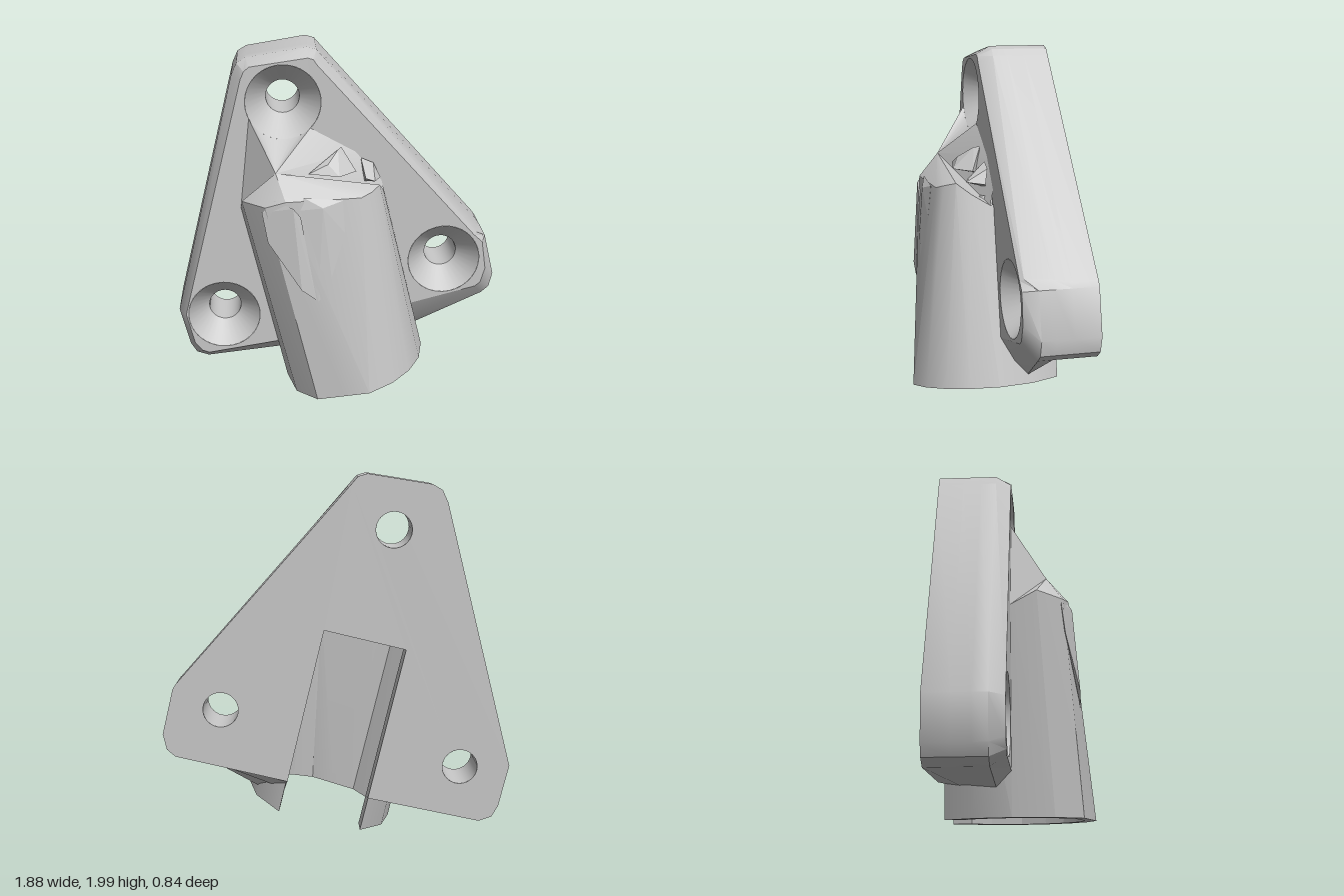
import * as THREE from 'three';
import { toCreasedNormals } from 'three/addons/utils/BufferGeometryUtils.js';
import { ConvexGeometry } from 'three/addons/geometries/ConvexGeometry.js';

const TILT = Math.atan2(0.235, 0.972);
const FRONT = -0.02, BACK = -0.42, SINK = 0.21;

// Socket-aligned coordinates (across, along, depth) to model space
function local(u, v, z = 0) {
  const c = Math.cos(TILT), s = Math.sin(TILT);
  return [0.095 + u * c - v * s, 0.105 + u * s + v * c, z];
}

// Triangles from a list of points, keeping hard edges sharp
function surface(points, index, crease = 0.45) {
  const g = new THREE.BufferGeometry();
  g.setAttribute('position', new THREE.Float32BufferAttribute(points.flat(), 3));
  g.setIndex(index);
  return toCreasedNormals(g, crease);
}

// Skin between closed cross-sections with equal point counts
function loft(rings, crease) {
  const n = rings[0].length, index = [];
  for (let r = 0; r < rings.length - 1; r++) {
    for (let i = 0; i < n; i++) {
      const a = r * n + i, b = r * n + (i + 1) % n;
      index.push(a, b, b + n, a, b + n, a + n);
    }
  }
  return surface(rings.flat(), index, crease);
}

// Closed fan around one centre point
function fan(centre, loop, crease) {
  const index = loop.flatMap((_, i) => [0, i + 1, (i + 1) % loop.length + 1]);
  return surface([centre, ...loop], index, crease);
}

export function createModel() {
  const group = new THREE.Group();
  const grey = new THREE.MeshStandardMaterial({ color: 0xc8c8c8, side: THREE.DoubleSide });
  grey.name = 'lightGrey';
  const add = (name, geometry) => {
    const m = new THREE.Mesh(geometry, grey);
    m.name = name;
    group.add(m);
    return m;
  };

  // Plate outlines, from the right foot round over the top to the left foot
  const outer = [[0.875, 0.485], [0.92, 0.525], [0.94, 0.61], [0.88, 0.86], [0.86, 0.89],
    [-0.08, 1.95], [-0.11, 1.985], [-0.16, 2], [-0.5, 1.945], [-0.55, 1.915], [-0.58, 1.85],
    [-0.94, 0.43], [-0.885, 0.2], [-0.85, 0.14], [-0.78, 0.115]];
  const inner = [[0.82, 0.565], [0.85, 0.59], [0.875, 0.68], [0.85, 0.85], [0.8, 0.895],
    [-0.11, 1.915], [-0.13, 1.945], [-0.16, 1.955], [-0.48, 1.91], [-0.51, 1.885], [-0.53, 1.84],
    [-0.895, 0.43], [-0.85, 0.24], [-0.81, 0.19], [-0.77, 0.175]];
  const ring = (side, z, half, vRight, vLeft, vTop) => [
    local(half, vRight, z), ...side.map(([x, y]) => [x, y, z]),
    local(-half, vLeft, z), local(-half, vTop, z), local(half, vTop, z)];
  const rings = [
    ring(outer, BACK, 0.225, 0.19, 0.2, 1.05),
    ring(outer, -0.28, 0.225, 0.1, 0.17, 1.05),
    ring(outer, -0.18, 0.33, 0.04, 0.16, 1.065),
    ring(outer, -0.1, 0.385, 0.13, 0.155, 1.08),
    ring(inner, FRONT, 0.385, 0.27, 0.235, 1.08)];
  // The long right bevel runs out towards the right foot
  rings[3][5] = [0.815, 0.905, -0.04];
  rings[2][5] = [0.835, 0.9, -0.18];
  add('plateSides', loft(rings, 0.5));

  // Plate faces, pierced by three countersunk screw holes
  const holes = [[-0.3, 1.71], [0.625, 0.745], [-0.67, 0.425]];
  const face = (points, radius, z) => {
    const shape = new THREE.Shape(points.map(p => new THREE.Vector2(p[0], p[1])));
    for (const [x, y] of holes) {
      shape.holes.push(new THREE.Path().absarc(x, y, radius, 0, Math.PI * 2, true));
    }
    return new THREE.ShapeGeometry(shape, 32).translate(0, 0, z);
  };
  add('plateFront', face(rings[4], SINK, FRONT));
  const back = face(rings[0], 0.095, BACK);
  const order = back.index.array;
  for (let i = 0; i < order.length; i += 3) [order[i], order[i + 1]] = [order[i + 1], order[i]];
  back.computeVertexNormals();
  add('plateBack', back);

  const bore = [[SINK, FRONT], [0.095, -0.16], [0.095, BACK]].map(p => new THREE.Vector2(...p));
  for (const [x, y] of holes) {
    const g = new THREE.LatheGeometry(bore, 32).rotateX(Math.PI / 2);
    add('screwHole', toCreasedNormals(g, 0.5)).position.set(x, y, 0);
  }

  // Tapered socket, a C-shaped shell open at the back
  const low = [[-0.23, -0.385], [-0.36, -0.22], [-0.41, -0.02], [-0.36, 0.2], [-0.24, 0.35],
    [-0.09, 0.385], [0.06, 0.42], [0.2, 0.37], [0.31, 0.28], [0.385, 0.16], [0.42, 0],
    [0.37, -0.2], [0.23, -0.385]];
  const high = [[-0.23, 1.05, -0.385], [-0.36, 1.05, -0.22], [-0.393, 1.119, -0.02],
    [-0.362, 1.204, 0.12], [-0.234, 1.183, 0.26], [-0.117, 1.196, 0.29], [0.284, 1.109, 0.27],
    [0.347, 1.115, 0.24], [0.4, 1.123, 0.18], [0.415, 1.057, 0.1], [0.42, 0.994, 0],
    [0.37, 1.05, -0.2], [0.23, 1.05, -0.385]];
  const last = low.length - 1;
  const hollow = (u, v, z, i) => i === 0 || i === last
    ? local(Math.sign(u) * 0.225, v, -0.28) : local(u * 0.86, v, z * 0.86);
  const lowOut = low.map(([u, z]) => local(u, 0, z));
  const lowIn = low.map(([u, z], i) => hollow(u, 0, z, i));
  const highOut = high.map(p => local(...p));
  const highIn = high.map(([u, , z], i) => hollow(u, 1.05, z, i));
  add('socket', loft([[...highOut, ...highIn.slice().reverse()],
    [...lowOut, ...lowIn.slice().reverse()]], 0.43));

  // Socket rim and the ceiling of the bore
  const rim = [];
  for (let i = 0; i < last; i++) {
    const j = i + last + 1;
    rim.push(i, i + 1, j + 1, i, j + 1, j);
  }
  add('socketRim', surface([...lowOut, ...lowIn], rim));
  add('boreCeiling', fan(local(0, 1.1, 0), highIn));

  // Sloping cap with a scoop running up to the top screw hole
  const scoop = [];
  for (let i = 0; i <= 10; i++) {
    const a = THREE.MathUtils.degToRad(205 + i * 11);
    scoop.push([-0.3 + SINK * Math.cos(a), 1.71 + SINK * Math.sin(a), FRONT]);
  }
  add('socketCap', fan([-0.35, 1.365, 0.17], [...scoop, [0.1, 1.42, FRONT], [0.25, 1.25, FRONT],
    ...highOut.slice(2, 11).reverse()], 0.35));

  // Rough raised patches on the socket front and cap
  const lump = (name, points) =>
    add(name, new ConvexGeometry(points.map(p => new THREE.Vector3(...p))));
  lump('frontRidgeLeft', [[-0.43, 1.17, 0.25], [-0.36, 1.24, 0.26], [-0.26, 1.21, 0.31],
    [-0.22, 1.16, 0.31], [-0.14, 0.68, 0.345], [-0.22, 0.74, 0.345], [-0.4, 1.0, 0.27],
    [-0.3, 1.1, 0.25]]);
  lump('frontRidgeRight', [[-0.24, 1.19, 0.29], [-0.2, 1.26, 0.28], [-0.1, 1.21, 0.31],
    [0.01, 1.24, 0.28], [0.02, 1.06, 0.3], [-0.05, 0.76, 0.34], [-0.13, 0.67, 0.345],
    [-0.1, 1.1, 0.26]]);
  lump('capRidge', [[-0.17, 1.34, 0.12], [0, 1.45, 0.03], [0.02, 1.455, 0], [0.1, 1.33, 0.06],
    [0, 1.33, 0.15], [-0.06, 1.39, 0.11], [0, 1.3, 0]]);
  lump('capRidgeSmall', [[0.13, 1.39, 0], [0.2, 1.36, 0], [0.24, 1.28, 0.02], [0.2, 1.29, 0.12],
    [0.15, 1.3, 0.1], [0.15, 1.25, 0]]);

  return group;
}
